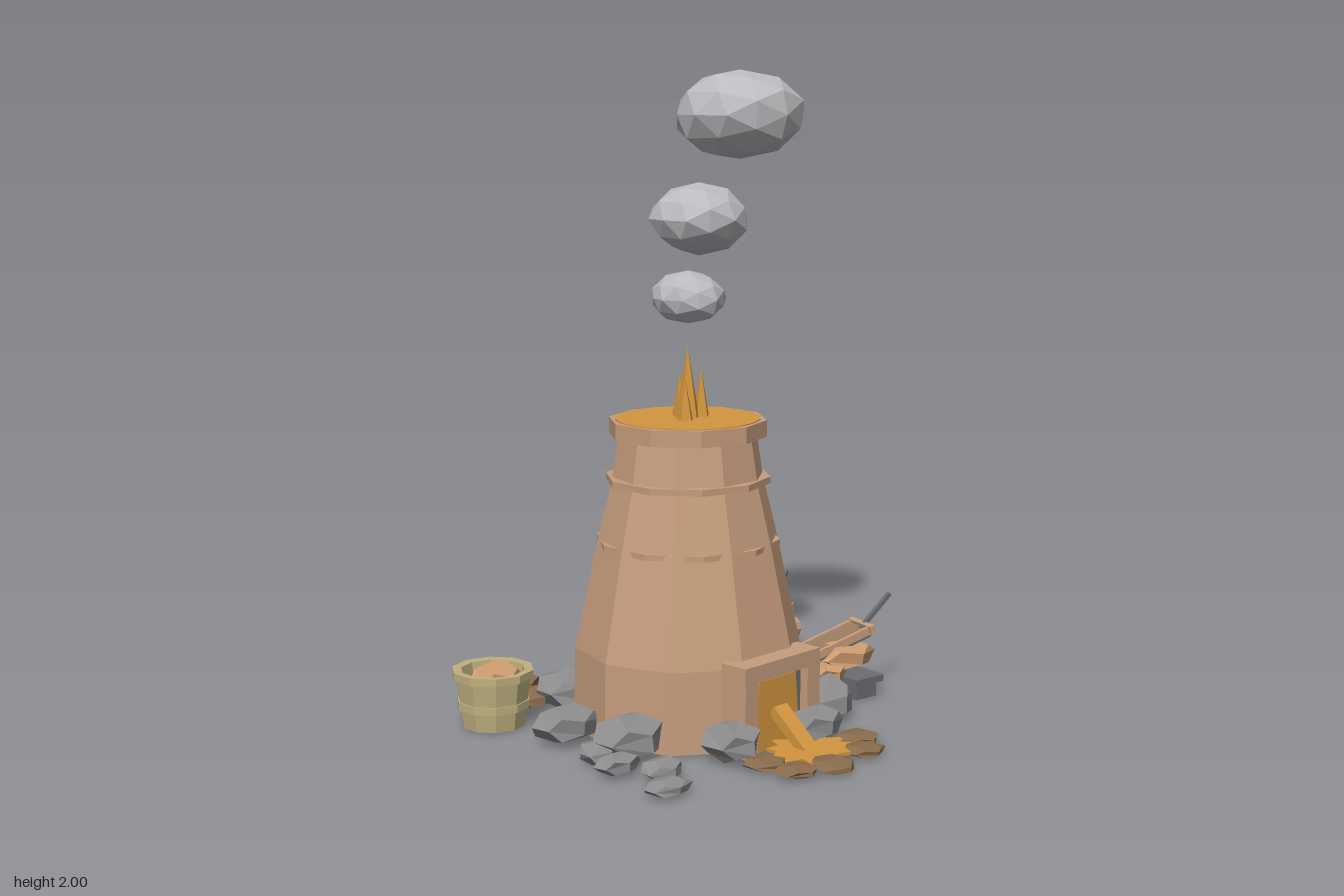
import * as THREE from 'three';

const mat = (name, color) => Object.assign(new THREE.MeshStandardMaterial({ color, flatShading: true }), { name });
const M = {
  clay: mat('clay', 0xc69d7d),
  fire: mat('fire', 0xd2963f),
  stone: mat('stone', 0x8d8d8e),
  smoke: mat('smoke', 0xb9bbbe),
  earth: mat('earth', 0x8a6c4c),
  wicker: mat('wicker', 0xbfb080),
  ore: mat('ore', 0xcf9c70),
  iron: mat('iron', 0x6b6d72),
  wood: mat('wood', 0x9a7b5e),
};

export function createModel() {
  const model = new THREE.Group();
  model.name = 'furnace';
  const CX = -0.055;

  const add = (name, geo, material, x = 0, y = 0, z = 0, parent = model) => {
    const m = new THREE.Mesh(geo, material);
    m.name = name;
    m.position.set(x, y, z);
    parent.add(m);
    return m;
  };
  const box = (name, w, h, d, material, x, y, z, parent) =>
    add(name, new THREE.BoxGeometry(w, h, d), material, x, y, z, parent);
  const lathe = (pts, sides) =>
    new THREE.LatheGeometry(pts.map(([r, y]) => new THREE.Vector2(r, y)), sides);

  // Faceted lump: every corner is pushed in or out by a rule of its direction
  const lump = (name, geo, material, [x, y, z], [rx, ry, rz], seed, rough = 0.1) => {
    const p = geo.attributes.position, v = new THREE.Vector3();
    for (let i = 0; i < p.count; i++) {
      v.fromBufferAttribute(p, i);
      const k = 1 + rough * Math.sin(v.x * 5.1 + v.y * 7.3 + v.z * 6.2 + seed * 2.4);
      p.setXYZ(i, v.x * k * rx, Math.max(v.y * k * ry, -y), v.z * k * rz);
    }
    geo.computeVertexNormals();
    return add(name, geo, material, x, y, z);
  };
  const rock = (name, material, x, z, rx, rz, h, seed, y = h / 2) =>
    lump(name, new THREE.DodecahedronGeometry(1.05), material, [x, y, z], [rx, h / 2, rz], seed);

  // Tapered ten-sided chimney
  const tower = add('tower', lathe([[0, 0], [0.355, 0], [0.35, 0.25], [0.28, 0.575],
    [0.235, 0.76], [0.21, 0.92], [0, 0.92]], 10), M.clay, CX);
  tower.rotation.y = Math.PI / 10;

  // Raised bands and rim, turned half a side against the tower
  for (const [r, y, h] of [[0.284, 0.575, 0.018], [0.254, 0.767, 0.02], [0.243, 0.925, 0.05]])
    add('band', new THREE.CylinderGeometry(r, r, h, 10), M.clay, CX, y);

  // Burning top
  add('emberDisc', new THREE.CylinderGeometry(0.222, 0.222, 0.012, 20), M.fire, CX, 0.947);
  for (const [x, z, r, h] of [[0, 0, 0.04, 0.225], [-0.042, 0.03, 0.028, 0.135],
    [0.048, 0.01, 0.028, 0.155], [0.012, -0.045, 0.026, 0.14]])
    add('flame', new THREE.ConeGeometry(r, h, 5), M.fire, CX + x, 0.945 + h / 2, z);

  // Smoke puffs
  [[-0.03, 1.315, -0.02, 0.11, 0.08, 0.12], [0.045, 1.55, -0.05, 0.155, 0.11, 0.15],
    [0.26, 1.86, -0.08, 0.205, 0.14, 0.205]].forEach(([x, y, z, rx, ry, rz], i) =>
    lump('smokePuff', new THREE.IcosahedronGeometry(1, 1), M.smoke, [x, y, z], [rx, ry, rz], i, 0.035));

  // Doorway
  for (const x of [-0.189, 0.084]) box('doorPost', 0.055, 0.225, 0.095, M.clay, x, 0.1125, 0.347);
  box('lintel', 0.33, 0.05, 0.095, M.clay, -0.0525, 0.25, 0.347);
  box('doorOpening', 0.22, 0.225, 0.04, M.iron, -0.0525, 0.1125, 0.345);
  const glow = new THREE.Shape([[-0.1, 0], [0.1, 0], [0.08, 0.215], [-0.08, 0.215]]
    .map(p => new THREE.Vector2(...p)));
  add('doorGlow', new THREE.ExtrudeGeometry(glow, { depth: 0.008, bevelEnabled: false }), M.fire, CX, 0, 0.366);
  const tongue = box('moltenTongue', 0.058, 0.03, 0.17, M.fire, CX, 0.065, 0.44);
  tongue.rotation.x = 0.7;

  // Molten pool with ragged edge
  const edge = [];
  for (let i = 0; i < 22; i++) {
    const a = i / 22 * Math.PI * 2, r = i % 2 ? 0.11 : 0.15 + 0.02 * Math.sin(i * 2.3);
    edge.push(new THREE.Vector2(Math.cos(a) * r, Math.sin(a) * r * 0.85));
  }
  const pool = add('moltenPool', new THREE.ExtrudeGeometry(new THREE.Shape(edge),
    { depth: 0.01, bevelEnabled: false }), M.fire, -0.05, 0.014, 0.5);
  pool.rotation.x = -Math.PI / 2;

  // Flat clods around the pool
  [[-0.225, 0.475], [-0.21, 0.59], [-0.1, 0.63], [0.065, 0.605], [0.14, 0.525]].forEach(([x, z], i) =>
    rock('poolClod', M.earth, x, z, 0.068, 0.065, 0.034, i));

  // Heap of clods at the back
  [[-0.36, -0.59, 0.06, 0.06, 0.06], [-0.21, -0.635, 0.05, 0.06, 0.05], [-0.27, -0.55, 0.07, 0.065, 0.085],
    [-0.295, -0.46, 0.055, 0.06, 0.06]].forEach(([x, z, rx, rz, h], i) =>
    rock('backClod', M.earth, x, z, rx, rz, h, i + 7));

  // Boulders round the foot of the tower
  [[-0.22, -0.39, 0.095, 0.1, 0.12], [0, -0.41, 0.088, 0.1, 0.12], [0.26, -0.28, 0.11, 0.1, 0.13],
    [-0.465, -0.11, 0.11, 0.09, 0.12], [-0.44, 0.14, 0.105, 0.1, 0.135], [-0.535, 0.1, 0.05, 0.06, 0.07],
    [-0.565, 0.22, 0.07, 0.056, 0.07], [-0.495, 0.33, 0.068, 0.052, 0.06], [-0.58, 0.435, 0.075, 0.055, 0.05],
    [-0.25, 0.37, 0.08, 0.1, 0.12], [0.25, 0.28, 0.11, 0.1, 0.13], [0.06, 0.42, 0.09, 0.08, 0.115],
    [0.36, -0.015, 0.095, 0.08, 0.125]].forEach(([x, z, rx, rz, h], i) =>
    rock('boulder', M.stone, x, z, rx, rz, h, i));

  // Basket of ore
  add('basket', lathe([[0, 0], [0.098, 0], [0.12, 0.175], [0.1, 0.175], [0.085, 0.05], [0, 0.05]], 10),
    M.wicker, -0.5, 0, -0.405);
  for (const [r, y] of [[0.113, 0.07], [0.128, 0.165]])
    add('basketHoop', lathe([[r - 0.02, -0.012], [r, -0.012], [r, 0.012], [r - 0.02, 0.012]], 10),
      M.wicker, -0.5, y, -0.405);
  rock('basketOre', M.ore, -0.49, -0.405, 0.08, 0.085, 0.12, 3, 0.14);

  // Pipe on the tower's left side
  const pipe = add('pipe', new THREE.CylinderGeometry(0.036, 0.036, 0.2, 10), M.clay, 0.335, 0.212, 0);
  pipe.rotation.z = Math.PI / 2 - 0.1;

  // Two matching work places: anvil, ore heap, tilted bellows tray and handle
  for (const s of [1, -1]) {
    const anvil = new THREE.Group();
    anvil.name = 'anvil';
    anvil.position.set(0.5, 0, s * 0.19);
    anvil.rotation.y = -s * 0.12;
    model.add(anvil);
    box('anvilTop', 0.12, 0.022, 0.15, M.iron, 0.015, 0.06, 0, anvil);
    box('anvilBase', 0.085, 0.05, 0.12, M.iron, 0.015, 0.025, 0, anvil);

    rock('oreLump', M.ore, 0.465, s * 0.175, 0.115, 0.105, 0.1, 2 + s, 0.14);
    rock('oreLump', M.ore, 0.37, s * 0.19, 0.075, 0.075, 0.08, 5 + s, 0.1);

    const tray = new THREE.Group();
    tray.name = 'bellowsTray';
    tray.position.set(0.425, 0.175, s * 0.15);
    tray.rotation.set(0, -s * 0.27, 0.27, 'YZX');
    model.add(tray);
    box('trayFloor', 0.3, 0.014, 0.09, M.wood, 0, 0, 0, tray);
    for (const e of [1, -1]) {
      box('trayRail', 0.3, 0.026, 0.012, M.clay, 0, 0.003, e * 0.05, tray);
      box('trayEnd', 0.018, 0.03, 0.125, M.clay, e * 0.145, 0.003, 0, tray);
    }
    box('trayUnderside', 0.27, 0.012, 0.11, M.iron, 0, -0.012, 0, tray);

    const a = new THREE.Vector3(0.53, 0.2, s * 0.19), b = new THREE.Vector3(0.65, 0.315, s * 0.225);
    const handle = box('trayHandle', 0.014, 0.014, a.distanceTo(b), M.iron, 0, 0, 0);
    handle.position.lerpVectors(a, b, 0.5);
    handle.lookAt(b);
  }
  return model;
}
